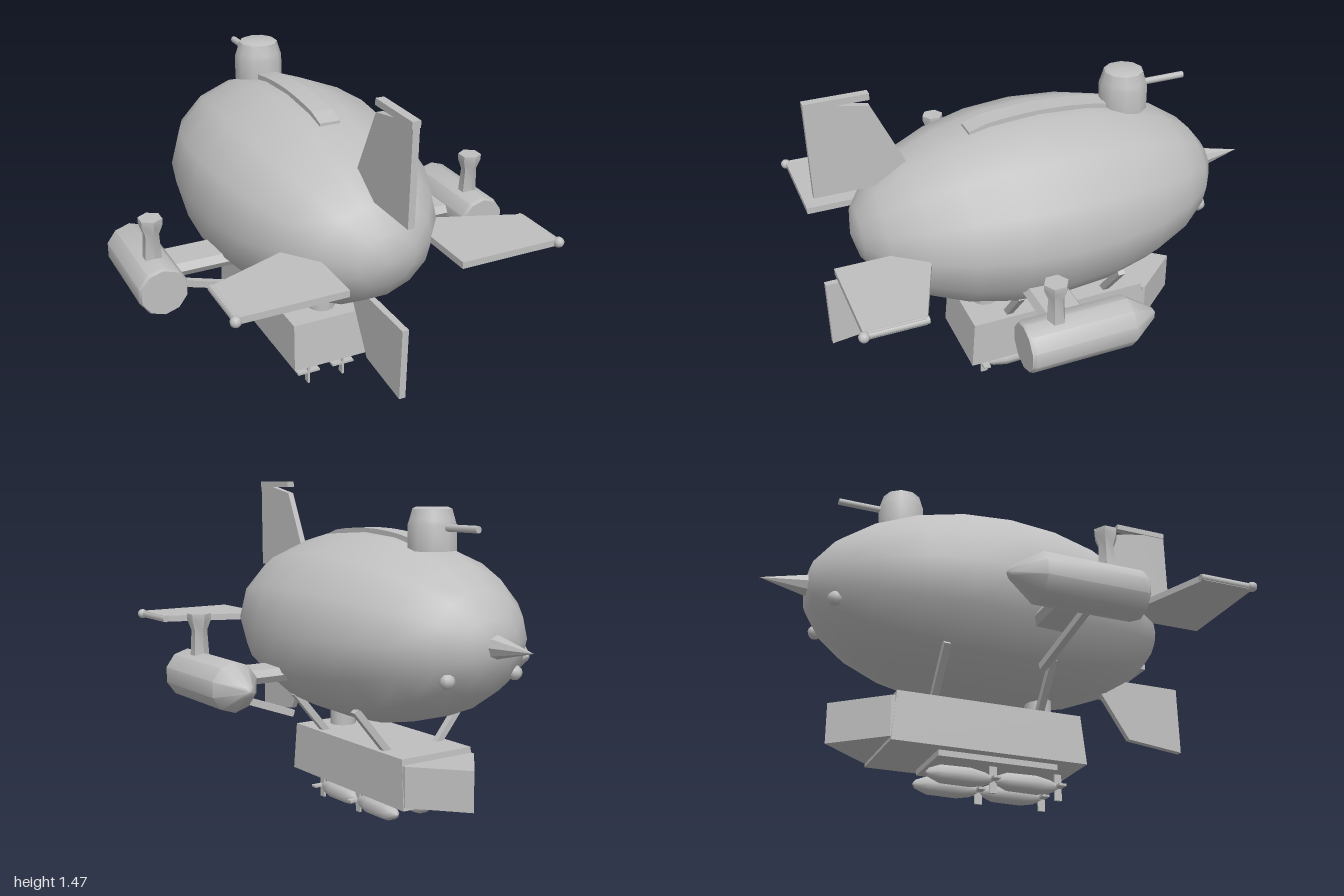
import * as THREE from 'three';
import { toCreasedNormals } from 'three/addons/utils/BufferGeometryUtils.js';

export function createModel() {
  const model = new THREE.Group();
  model.name = 'airship';
  const grey = new THREE.MeshStandardMaterial({ color: 0xbfbfbf });
  grey.name = 'plain grey';

  const add = (name, geo, x = 0, y = 0, z = 0, parent = model) => {
    const mesh = new THREE.Mesh(geo, grey);
    mesh.name = name;
    mesh.position.set(x, y, z);
    parent.add(mesh);
    return mesh;
  };
  const box = (w, h, d) => new THREE.BoxGeometry(w, h, d);
  // Turned part around y; profile is [radius, height] from bottom to top
  const turned = (profile, sides, crease = 0.7) => toCreasedNormals(
    new THREE.LatheGeometry(profile.map(([r, h]) => new THREE.Vector2(r, h)), sides), crease);
  // Turned part lying along z
  const turnedZ = (profile, sides, crease) => turned(profile, sides, crease).rotateX(Math.PI / 2);
  const slab = (points, depth) => new THREE.ExtrudeGeometry(
    new THREE.Shape(points.map(([a, b]) => new THREE.Vector2(a, b))),
    { depth, bevelEnabled: false }).translate(0, 0, -depth / 2);
  // Upright plate from [z, y] points, and level plate from [x, z] points
  const upright = (points, t) => slab(points, t).rotateY(-Math.PI / 2);
  const level = (points, t) => slab(points, t).rotateX(Math.PI / 2);
  // Square beam between two points
  const beam = (name, a, b, size) => {
    const from = new THREE.Vector3(...a), to = new THREE.Vector3(...b);
    const mesh = add(name, box(size, size, from.distanceTo(to)));
    mesh.position.copy(from).lerp(to, 0.5);
    mesh.lookAt(to);
  };

  // Hull: fourteen-sided ellipsoid, nose towards -z
  const hull = new THREE.SphereGeometry(1, 14, 12).rotateX(Math.PI / 2).scale(0.5, 0.42, 0.83);
  add('hull', hull, 0, 0.85, 0.02);
  add('noseSpike', turnedZ([[0, -1], [0.05, -0.79], [0, -0.79]], 8), 0, 0.85, 0);

  // Arched ridge along the top of the hull
  const ridge = [[0.33, 1.2], [0.33, 1.238]];
  for (let i = 1; i <= 8; i++) {
    const z = 0.33 - i * 0.0775;
    ridge.push([z, 0.85 + 0.428 * Math.sqrt(1 - ((z - 0.02) / 0.86) ** 2)]);
  }
  ridge.push([-0.29, 1.2]);
  add('topRidge', upright(ridge, 0.09));

  // Gun turret
  add('turret', turned([[0, 1.2], [0.105, 1.2], [0.105, 1.305], [0.098, 1.325],
    [0.085, 1.37], [0.07, 1.377], [0, 1.377]], 10), 0, 0, -0.39);
  add('turretBarrel', new THREE.CylinderGeometry(0.015, 0.015, 0.24, 8).rotateX(Math.PI / 2), 0, 1.295, -0.56);

  // Tail fins
  add('upperFin', upright([[0.98, 1.475], [0.98, 1.06], [0.7, 1.06], [0.59, 1.14],
    [0.72, 1.42], [0.85, 1.445]], 0.028));
  add('upperFinCap', box(0.036, 0.027, 0.26), 0, 1.462, 0.85);
  add('lowerFin', upright([[0.98, 0.63], [0.98, 0.32], [0.715, 0.35], [0.58, 0.56], [0.65, 0.63]], 0.028));

  for (const s of [1, -1]) {
    add('sideFin', level([[0.24, 0.975], [0.685, 0.975], [0.685, 0.735], [0.35, 0.61],
      [0.24, 0.7]].map(([x, z]) => [s * x, z]), 0.028), 0, 0.85, 0);
    add('finTipRod', new THREE.CylinderGeometry(0.016, 0.016, 0.25, 8).rotateX(Math.PI / 2), s * 0.675, 0.85, 0.85);
    add('finTipBall', new THREE.SphereGeometry(0.022, 10, 8), s * 0.683, 0.85, 0.975);
    add('noseStud', new THREE.SphereGeometry(0.032, 8, 6), s * 0.175, 0.72, -0.71);

    // Engine pod with funnel
    const pod = new THREE.Group();
    pod.name = 'enginePod';
    pod.position.set(s * 0.745, 0.66, 0);
    model.add(pod);
    add('podBody', turnedZ([[0, -0.19], [0.025, -0.175], [0.105, -0.06], [0.105, 0.365],
      [0.098, 0.38], [0, 0.38]], 10), 0, 0, 0, pod);
    add('funnel', turned([[0, 0.08], [0.04, 0.08], [0.033, 0.2], [0.05, 0.245],
      [0.05, 0.27], [0, 0.27]], 6), 0, 0, 0.245, pod);

    // Pylon with chamfered edges, and its brace
    const pylon = slab([[0.065, 0.66], [0.085, 0.69], [0.23, 0.69], [0.25, 0.66],
      [0.23, 0.63], [0.085, 0.63]], 0.3).rotateY(-Math.PI / 2);
    add('podPylon', pylon, s * 0.53, 0, 0);
    beam('podBrace', [s * 0.7, 0.595, 0.175], [s * 0.36, 0.472, 0.13], 0.03);

    // Gondola struts
    for (const z of [0.21, -0.265]) beam('gondolaStrut', [s * 0.3, 0.545, z], [s * 0.13, 0.34, z], 0.03);

    // Bombs with crossed tail fins
    for (const z of [0.02, 0.315]) {
      const bomb = new THREE.Group();
      bomb.name = 'bomb';
      bomb.position.set(s * 0.085, 0.058, z);
      model.add(bomb);
      add('bombBody', turnedZ([[0, -0.295], [0.02, -0.28], [0.04, -0.23], [0.042, -0.1],
        [0.03, -0.04], [0.01, 0], [0, 0]], 8, 0.9), 0, 0, 0, bomb);
      add('bombFinUpright', box(0.01, 0.114, 0.032), 0, 0, 0, bomb);
      add('bombFinLevel', box(0.105, 0.01, 0.032), 0, 0, 0, bomb);
    }
  }

  // Gondola: box narrowing slightly towards the top, with a wedge prow
  const cabin = box(0.38, 0.215, 0.86);
  const p = cabin.attributes.position;
  for (let i = 0; i < p.count; i++) {
    if (p.getY(i) > 0) p.setXYZ(i, p.getX(i) * 0.97, p.getY(i), p.getZ(i) * 0.953);
  }
  cabin.computeVertexNormals();
  add('gondola', cabin, 0, 0.2475, -0.025);
  add('gondolaProw', level([[-0.185, -0.44], [0.185, -0.44], [0.185, -0.458], [0, -0.675], [-0.185, -0.458]], 0.175), 0, 0.2425, 0);
  add('gondolaNeck', new THREE.CylinderGeometry(0.06, 0.06, 0.16, 12), 0, 0.42, 0.27);
  add('bombRack', box(0.285, 0.03, 0.53), 0, 0.13, 0.025);

  return model;
}
